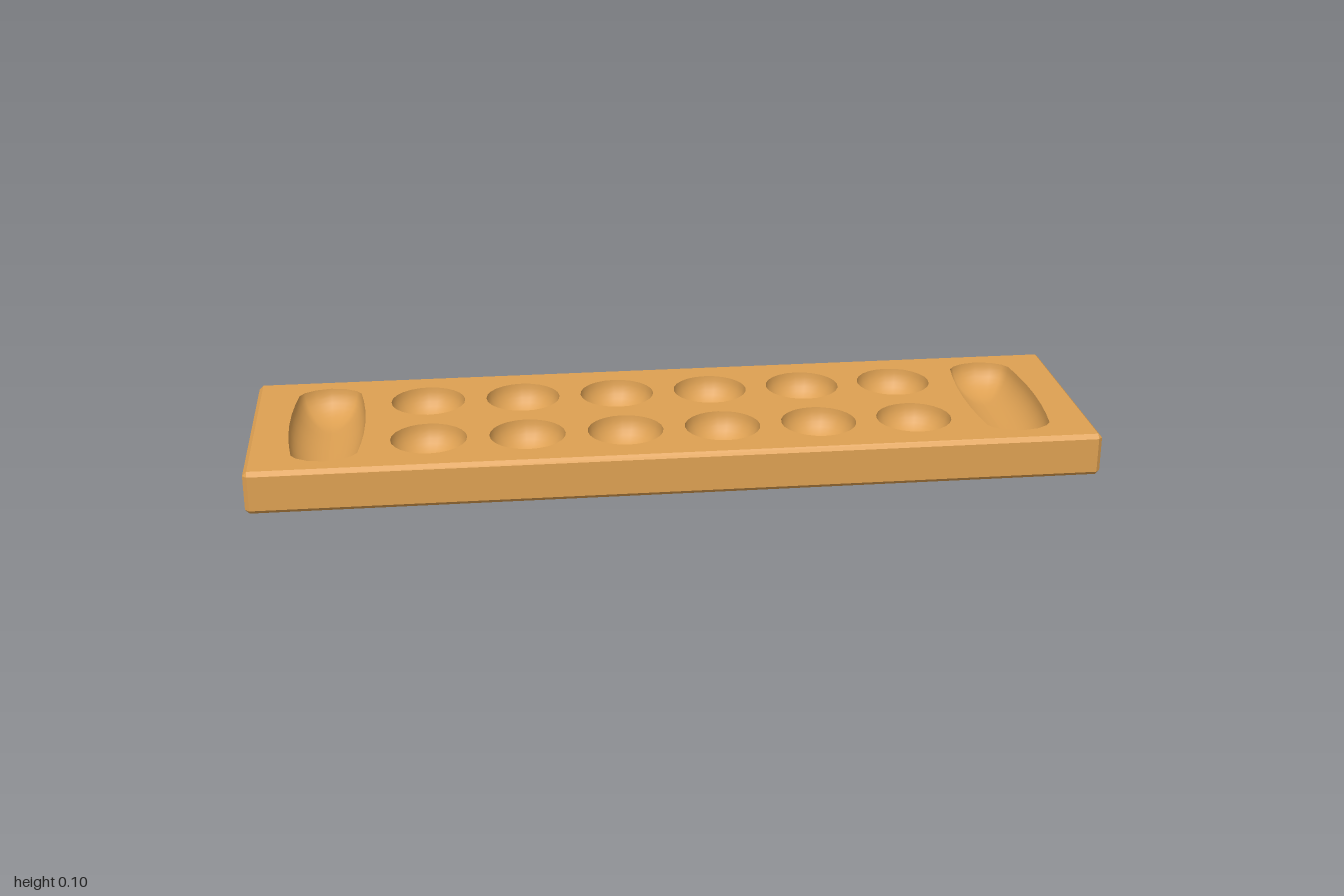
import * as THREE from 'three';

const W = 1, D = 0.277, H = 0.104, C = 0.01; // half width, half depth, height, chamfer
const DEPTH = 0.075;                         // depth of the hollows

const wood = new THREE.MeshStandardMaterial({ color: 0xdda052 });

// Skin closed rings of [x, y, z] points, one after the other
function loft(rings) {
  const n = rings[0].length, index = [];
  for (let r = 0; r < rings.length - 1; r++) {
    for (let j = 0; j < n; j++) {
      const a = r * n + j, b = r * n + (j + 1) % n;
      index.push(a, a + n, b, b, a + n, b + n);
    }
  }
  const geo = new THREE.BufferGeometry();
  geo.setAttribute('position', new THREE.Float32BufferAttribute(rings.flat(2), 3));
  geo.setIndex(index);
  geo.computeVertexNormals();
  return geo;
}

// Rounded hollow below an outline; keep = share of the length left along the floor
function hollow(outline, keep) {
  const rings = [], steps = 10;
  for (let i = 0; i <= steps; i++) {
    const t = (i / steps) * Math.PI / 2, c = Math.cos(t);
    rings.push(outline.map(([x, z]) => [x * c, -DEPTH * Math.sin(t), z * (keep + (1 - keep) * c)]));
  }
  return loft(rings);
}

function createModel() {
  const group = new THREE.Group();
  const add = (geo, name, x = 0, y = 0, z = 0) => {
    const mesh = new THREE.Mesh(geo, wood);
    mesh.name = name;
    mesh.position.set(x, y, z);
    group.add(mesh);
  };

  // Chamfered sides and underside
  const ring = (y, cut, s = 1) => [[1, 1], [-1, 1], [-1, -1], [1, -1]].flatMap(([sx, sz]) => {
    const a = [sx * W * s, y, sz * (D - C) * s];
    const b = [sx * (W - C) * s, y, sz * D * s];
    const corner = [sx * (W - C) * s, y, sz * (D - C) * s];
    if (!cut) return [corner, corner];
    return sx * sz > 0 ? [a, b] : [b, a];
  });
  const sides = loft([ring(0, false, 0), ring(0, false), ring(C, true), ring(H - C, true), ring(H, false)]).toNonIndexed();
  sides.computeVertexNormals();
  add(sides, 'boardSides');

  // Outline of a small round pit
  const pit = Array.from({ length: 24 }, (_, i) => {
    const a = (i / 24) * Math.PI * 2;
    return [0.09 * Math.cos(a), 0.09 * Math.sin(a)];
  });

  // Outline of a long end trough, one quarter mirrored around
  const quarter = [[0.09, 0], [0.088, 0.07], [0.083, 0.13], [0.076, 0.185], [0.064, 0.203], [0.038, 0.219], [0, 0.227]];
  const half = [...quarter, ...quarter.slice(0, -1).reverse().map(([x, z]) => [-x, z])];
  const trough = [...half, ...half.slice(1, -1).reverse().map(([x, z]) => [x, -z])];

  const pitGeo = hollow(pit, 0), troughGeo = hollow(trough, 0.55);

  // Top face, pierced by every hollow
  const top = new THREE.Shape([
    [-W + C, -D + C], [W - C, -D + C], [W - C, D - C], [-W + C, D - C],
  ].map(([x, y]) => new THREE.Vector2(x, y)));
  const place = (geo, outline, name, x, z) => {
    add(geo, name, x, H, z);
    top.holes.push(new THREE.Path(outline.map(([px, pz]) => new THREE.Vector2(x + px, -z - pz))));
  };

  // Two rows of six pits
  for (const z of [-0.118, 0.118]) {
    for (let i = 0; i < 6; i++) place(pitGeo, pit, 'pit', (i - 2.5) * 0.232, z);
  }
  // A trough at each end
  for (const x of [-0.82, 0.82]) place(troughGeo, trough, 'endTrough', x, 0);

  add(new THREE.ShapeGeometry(top).rotateX(-Math.PI / 2), 'boardTop', 0, H, 0);
  return group;
}

export { createModel };
